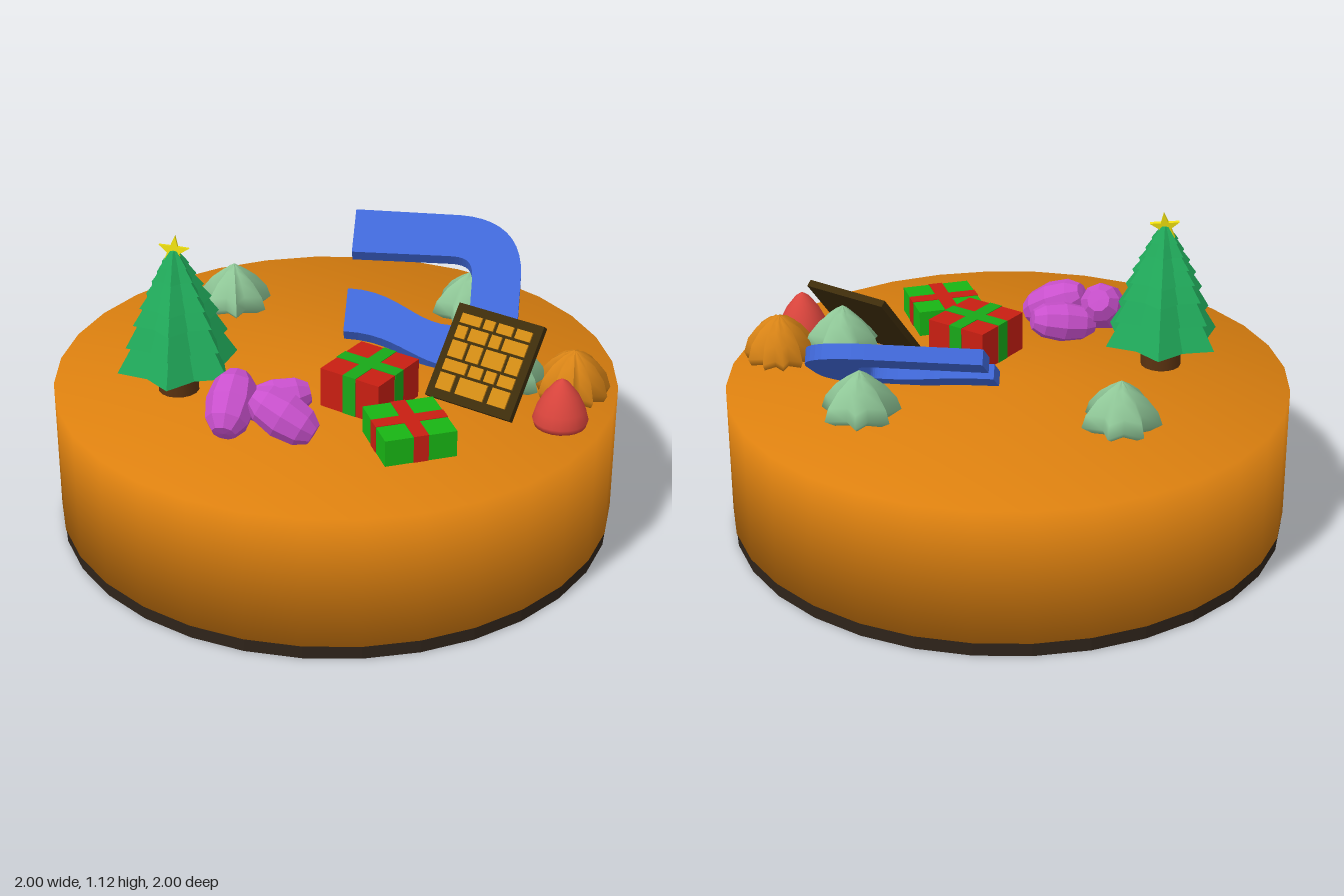
import * as THREE from 'three';

const V2 = (p) => new THREE.Vector2(p[0], p[1]);
const mat = (color, flatShading = true) => new THREE.MeshStandardMaterial({ color, flatShading });

function add(parent, name, geometry, material, x = 0, y = 0, z = 0) {
  const mesh = new THREE.Mesh(geometry, material);
  mesh.name = name;
  mesh.position.set(x, y, z);
  parent.add(mesh);
  return mesh;
}

// Lathe whose every second column is pulled in, giving a star cross-section
function fluted(profile, tips, inner) {
  const g = new THREE.LatheGeometry(profile.map(V2), tips * 2);
  const p = g.attributes.position;
  for (let i = 0; i < p.count; i++) {
    if (Math.floor(i / profile.length) % 2) p.setXYZ(i, p.getX(i) * inner, p.getY(i), p.getZ(i) * inner);
  }
  g.computeVertexNormals();
  return g;
}

const TOP = 0.535; // height of the cake's upper face

// Tree: zigzag tiers, trunk and five-pointed star
function makeTree() {
  const tree = new THREE.Group();
  tree.name = 'tree';
  tree.position.set(-0.535, 0, 0.18);
  const heights = [0.64, 0.73, 0.81, 0.87, 0.92, 0.965, 1.01, 1.065];
  const radii = [0.222, 0.188, 0.158, 0.132, 0.106, 0.08, 0.055, 0.015];
  const profile = [[0, 0.64]];
  for (let i = 0; i < 7; i++) {
    profile.push([radii[i], heights[i]], [radii[i + 1] * 0.88, heights[i + 1]]);
  }
  profile.push([0, 1.07]);
  add(tree, 'branches', fluted(profile, 6, 0.74), mat(0x20a95a));
  add(tree, 'trunk', new THREE.CylinderGeometry(0.072, 0.072, 0.12, 16), mat(0x5a3210, false), 0, 0.59, 0);
  const pts = [];
  for (let i = 0; i < 10; i++) {
    const a = Math.PI / 2 + i * Math.PI / 5, r = i % 2 ? 0.022 : 0.055;
    pts.push(new THREE.Vector2(r * Math.cos(a), r * Math.sin(a)));
  }
  const star = new THREE.ExtrudeGeometry(new THREE.Shape(pts), { depth: 0.014, bevelEnabled: false });
  star.translate(0, 0, -0.007);
  add(tree, 'star', star, mat(0xf0e010), 0, 1.063, 0).rotation.set(-0.15, 0, -0.1);
  return tree;
}

// Box with two crossing ribbons
function makeGift(name, x, z, angle, w, h, d, color, ribbonColor) {
  const gift = new THREE.Group();
  gift.name = name;
  gift.position.set(x, TOP + h / 2, z);
  gift.rotation.y = angle;
  const e = 0.004, ribbon = mat(ribbonColor);
  add(gift, 'giftBox', new THREE.BoxGeometry(w, h, d), mat(color));
  add(gift, 'ribbonAcross', new THREE.BoxGeometry(w + e, h + e, 0.052), ribbon);
  add(gift, 'ribbonAlong', new THREE.BoxGeometry(0.052, h + e, d + e), ribbon);
  return gift;
}

// Thick hook-shaped strip, leaning backwards; outline is given as x and z seen from above
function makeHook() {
  const c = 0.843, s = (z) => (-0.04 - z) / c;
  const shape = new THREE.Shape();
  const line = (x, z) => shape.lineTo(x, s(z));
  const curve = (a, b, d, e, f, g) => shape.bezierCurveTo(a, s(b), d, s(e), f, s(g));
  shape.moveTo(0.01, s(-0.6));
  line(0.4, -0.595);
  curve(0.55, -0.59, 0.637, -0.52, 0.637, -0.38);
  line(0.635, -0.24);
  curve(0.63, -0.1, 0.54, -0.03, 0.4, -0.045);
  curve(0.26, -0.06, 0.2, -0.15, 0.01, -0.15);
  line(0.01, -0.305);
  curve(0.2, -0.305, 0.26, -0.19, 0.4, -0.19);
  curve(0.445, -0.19, 0.46, -0.2, 0.46, -0.24);
  line(0.46, -0.36);
  curve(0.46, -0.42, 0.44, -0.44, 0.37, -0.44);
  line(0.01, -0.44);
  shape.closePath();
  return new THREE.ExtrudeGeometry(shape, { depth: 0.052, bevelEnabled: false, curveSegments: 10 });
}

// Leaning dark plate with raised golden tiles
function makePlate() {
  const plate = new THREE.Group();
  plate.name = 'tiledPlate';
  const u = new THREE.Vector3(0.88, 0, 0.477).normalize();
  const n = new THREE.Vector3(-0.372, 0.627, 0.686).normalize();
  const v = new THREE.Vector3().crossVectors(n, u);
  plate.quaternion.setFromRotationMatrix(new THREE.Matrix4().makeBasis(u, v, n));
  plate.position.set(0.535, 0.678, 0.137);
  add(plate, 'slab', new THREE.BoxGeometry(0.34, 0.345, 0.026), mat(0x3d2c0a));
  const gold = mat(0xd08a14);
  const rows = [ // row height, then tile widths
    [0.035, 0.08, 0.04, 0.06, 0.06],
    [0.045, 0.04, 0.07, 0.04, 0.09],
    [0.06, 0.06, 0.05, 0.08, 0.05],
    [0.04, 0.09, 0.05, 0.04, 0.06],
    [0.06, 0.06, 0.11, 0.07],
  ];
  let y = 0.14;
  rows.forEach(([h, ...widths]) => {
    let x = -0.14;
    const gap = (0.28 - widths.reduce((a, b) => a + b, 0)) / (widths.length - 1);
    widths.forEach((w) => {
      add(plate, 'tile', new THREE.BoxGeometry(w, h, 0.012), gold, x + w / 2, y - h / 2, 0.014);
      x += w + gap;
    });
    y -= h + 0.01;
  });
  return plate;
}

export function createModel() {
  const model = new THREE.Group();
  model.name = 'decoratedCake';

  // Cake body on a thin dark board
  const body = [[0, 0.05], [1, 0.05], [1, TOP], [0, TOP]].map(V2);
  add(model, 'cakeBody', new THREE.LatheGeometry(body, 32), mat(0xdc800f, false));
  add(model, 'board', new THREE.CylinderGeometry(0.995, 0.995, 0.05, 32), mat(0x2e231a), 0, 0.025, 0);

  model.add(makeTree());
  model.add(makeGift('redGift', 0.14, 0.198, -0.5, 0.24, 0.145, 0.25, 0xc81e12, 0x18a818));
  model.add(makeGift('greenGift', 0.3, 0.483, 0.4, 0.25, 0.095, 0.25, 0x18b414, 0xc81e12));

  add(model, 'blueHook', makeHook(), mat(0x4068d8), 0, 0.511, -0.068).rotation.x = -1.004;
  model.add(makePlate());

  // Faceted sweets: centre, long axis, length, width
  const sweets = [
    [[-0.165, 0.605, 0.355], [0.93, 0.15, -0.3], 0.24, 0.15],
    [[-0.305, 0.633, 0.45], [0.1, 0.55, -0.83], 0.235, 0.175],
    [[-0.122, 0.622, 0.49], [0.87, -0.45, 0.2], 0.245, 0.165],
  ];
  const up = new THREE.Vector3(0, 1, 0);
  const barrel = [[0, -0.5], [0.24, -0.49], [0.42, -0.32], [0.5, 0], [0.42, 0.32], [0.24, 0.49], [0, 0.5]].map(V2);
  sweets.forEach(([c, axis, length, width]) => {
    const sweet = add(model, 'sweet', new THREE.LatheGeometry(barrel, 9), mat(0xc850cc), ...c);
    sweet.quaternion.setFromUnitVectors(up, new THREE.Vector3(...axis).normalize());
    sweet.scale.set(width, length, width);
  });

  // Piped cream dollops
  const dollop = [[0, 0.565], [0.1, 0.565], [0.14, 0.59], [0.125, 0.635], [0.085, 0.685], [0.04, 0.72], [0, 0.745]];
  [[-0.43, -0.43, 0.2], [0.45, -0.45, 0.5], [0.61, 0.09, 0]].forEach(([x, z, turn]) => {
    add(model, 'creamDollop', fluted(dollop, 7, 0.62), mat(0x90c898, false), x, 0, z).rotation.y = turn;
  });
  const orange = [[0, TOP], [0.12, TOP], [0.132, 0.56], [0.115, 0.615], [0.08, 0.66], [0.04, 0.69], [0, 0.705]];
  add(model, 'orangeDollop', fluted(orange, 11, 0.68), mat(0xd98416, false), 0.84, 0, 0.068);

  // Smooth red drop
  const drop = [[0, TOP], [0.09, TOP], [0.096, 0.555], [0.085, 0.595], [0.06, 0.645], [0.025, 0.69], [0, 0.707]].map(V2);
  add(model, 'redDrop', new THREE.LatheGeometry(drop, 20), mat(0xd8443c, false), 0.8, 0, 0.285);

  return model;
}
